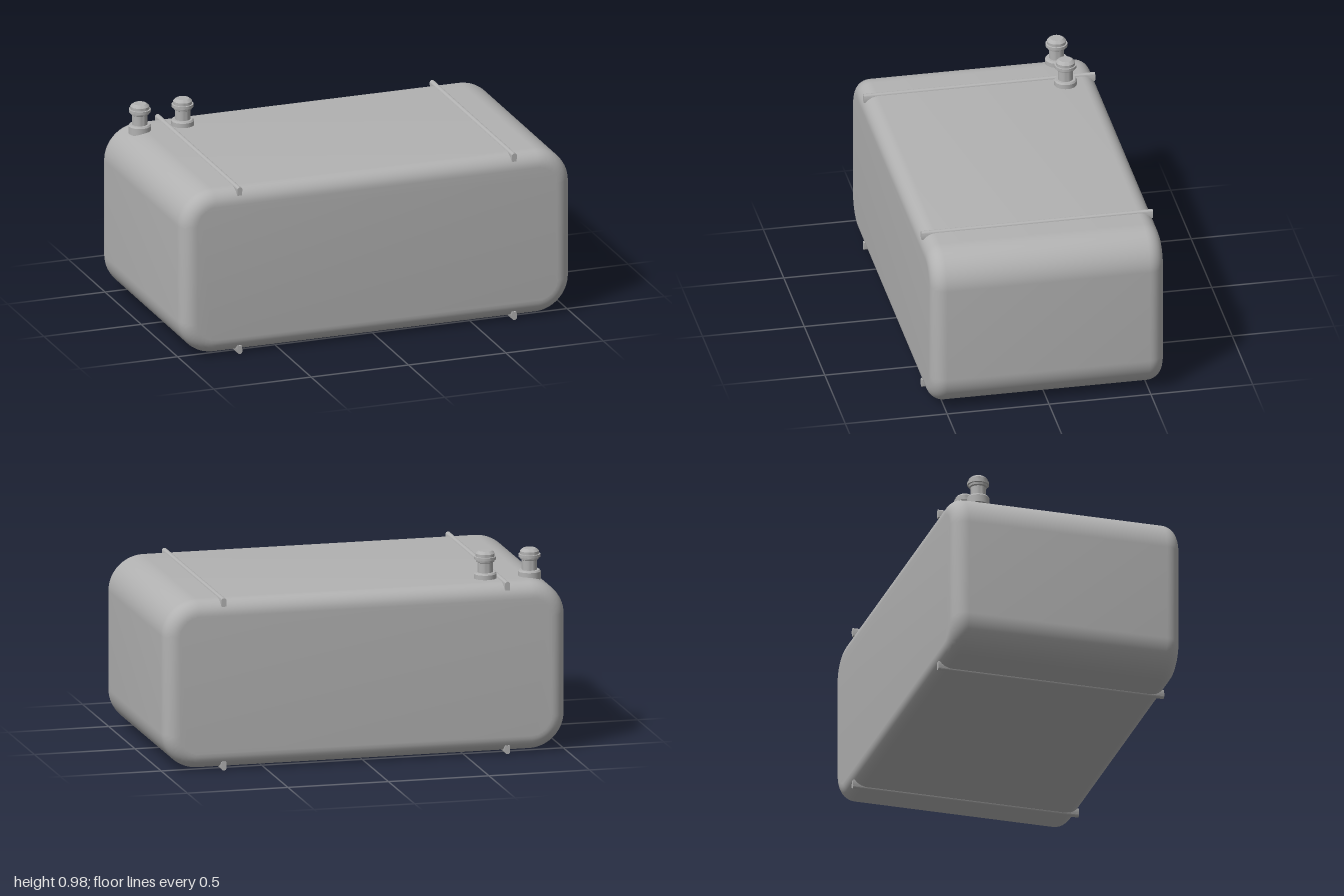
import * as THREE from 'three';
import { toCreasedNormals } from 'three/addons/utils/BufferGeometryUtils.js';

const steel = new THREE.MeshStandardMaterial({ color: 0xb2b2b2 });
steel.name = 'grey steel';

function roundedRect(w, h, r) {
  const x = w / 2, y = h / 2, s = new THREE.Shape();
  s.absarc(x - r, y - r, r, 0, Math.PI / 2);
  s.absarc(-x + r, y - r, r, Math.PI / 2, Math.PI);
  s.absarc(-x + r, -y + r, r, Math.PI, Math.PI * 1.5);
  s.absarc(x - r, -y + r, r, Math.PI * 1.5, Math.PI * 2);
  s.closePath();
  return s;
}

function addMesh(parent, name, geometry, x, y, z) {
  const mesh = new THREE.Mesh(geometry, steel);
  mesh.name = name;
  mesh.position.set(x, y, z);
  parent.add(mesh);
  return mesh;
}

export function createModel() {
  const model = new THREE.Group();
  model.name = 'tank';

  // Tank body: rounded block with a softer rounding at front and back
  const bevel = 0.075, halfDepth = 0.573;
  const body = new THREE.ExtrudeGeometry(roundedRect(2 - 2 * bevel, 0.83 - 2 * bevel, 0.1), {
    depth: 2 * (halfDepth - bevel),
    bevelSize: bevel, bevelThickness: bevel, bevelSegments: 8, curveSegments: 12,
  });
  body.translate(0, 0, bevel - halfDepth);
  addMesh(model, 'tankBody', toCreasedNormals(body, 0.6), 0, 0.425, 0);

  // Narrow straps along the top and bottom, with rounded outer edges
  const strapShape = new THREE.Shape();
  strapShape.moveTo(-0.011, -0.042);
  strapShape.lineTo(0.011, -0.042);
  strapShape.lineTo(0.013, -0.008);
  strapShape.absarc(0, -0.013, 0.013, 0, Math.PI);
  strapShape.closePath();
  const strap = toCreasedNormals(new THREE.ExtrudeGeometry(strapShape, {
    depth: 1.136, bevelEnabled: false, curveSegments: 8,
  }).translate(0, 0, -0.568), 0.7);
  for (const x of [-0.705, 0.705]) {
    addMesh(model, 'topStrap', strap, x, 0.85, 0);
    addMesh(model, 'bottomStrap', strap, x, 0, 0).rotation.z = Math.PI;
  }

  // Two filler necks with flange, ring and domed cap
  const profile = [
    [0, 0.825], [0.055, 0.825], [0.055, 0.862], [0.049, 0.87], [0.037, 0.87],
    [0.037, 0.918], [0.044, 0.922], [0.046, 0.932], [0.053, 0.933], [0.053, 0.947],
    [0.046, 0.948], [0.046, 0.962], [0.041, 0.968], [0.031, 0.975], [0, 0.975],
  ].map(([r, y]) => new THREE.Vector2(r, y));
  const neck = toCreasedNormals(new THREE.LatheGeometry(profile, 32), 0.5);
  for (const x of [-0.855, -0.635]) addMesh(model, 'fillerNeck', neck, x, 0, -0.41);

  return model;
}
